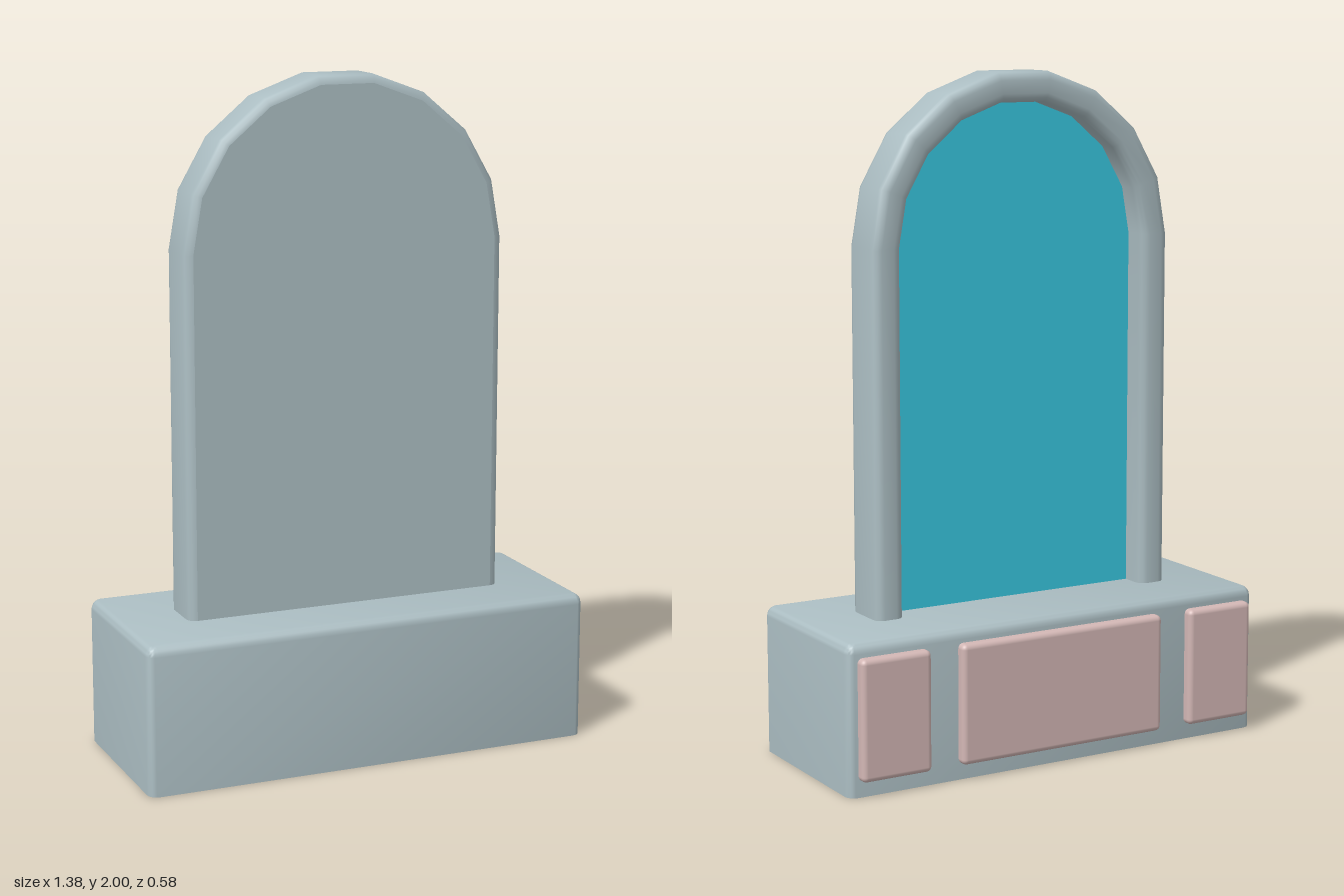
import * as THREE from 'three';
import { toCreasedNormals } from 'three/addons/utils/BufferGeometryUtils.js';
import { RoundedBoxGeometry } from 'three/addons/geometries/RoundedBoxGeometry.js';

const HALF = 0.497, SPRING = 1.511, FOOT = 0.44, FRONT = 0.092, BACK = -0.066;
const FRAME = 0.09, GLASS_Z = 0.014, BEVEL = 0.026;

// Round-topped outline, moved inwards by inset, from the +x foot over to the -x foot
function archOutline(inset) {
  const r = HALF - inset;
  const points = [new THREE.Vector2(r, FOOT)];
  for (let i = 0; i <= 9; i++) {
    const a = (i / 9) * Math.PI;
    points.push(new THREE.Vector2(r * Math.cos(a), SPRING + r * Math.sin(a)));
  }
  points.push(new THREE.Vector2(-r, FOOT));
  return points;
}

// Sweeps a profile of [inset, z] pairs along the arch
function sweepArch(profile) {
  const positions = [], index = [];
  const rings = profile.map(([inset]) => archOutline(inset));
  const n = rings[0].length;
  profile.forEach(([, z], j) => rings[j].forEach((p) => positions.push(p.x, p.y, z)));
  for (let j = 0; j < profile.length - 1; j++) {
    for (let i = 0; i < n - 1; i++) {
      const a = j * n + i, b = a + n;
      index.push(a, b, a + 1, b, b + 1, a + 1);
    }
  }
  const geometry = new THREE.BufferGeometry();
  geometry.setAttribute('position', new THREE.Float32BufferAttribute(positions, 3));
  geometry.setIndex(index);
  return toCreasedNormals(geometry, 0.7);
}

// Quarter-round steps between two edges of the profile
function round(cx, cz, radius, from, to) {
  return [0, 1, 2, 3].map((k) => {
    const a = from + ((to - from) * k) / 3;
    return [cx + radius * Math.cos(a), cz + radius * Math.sin(a)];
  });
}

// Rounded box with straight walls down to y = 0 and no underside
function openBlock(width, height, depth, radius) {
  const box = new RoundedBoxGeometry(width, height, depth, 3, radius).translate(0, height / 2, 0);
  const source = box.attributes.position;
  const kept = [];
  for (let i = 0; i < source.count; i += 3) {
    const corners = [i, i + 1, i + 2].map((k) => {
      const p = new THREE.Vector3().fromBufferAttribute(source, k);
      if (p.y < height / 2) p.y = 0;
      return p;
    });
    if (corners.some((p) => p.y > 0)) corners.forEach((p) => kept.push(p.x, p.y, p.z));
  }
  const geometry = new THREE.BufferGeometry();
  geometry.setAttribute('position', new THREE.Float32BufferAttribute(kept, 3));
  return toCreasedNormals(geometry, 0.7);
}

export function createModel() {
  const model = new THREE.Group();
  const stone = new THREE.MeshStandardMaterial({ color: 0xabbdc2, side: THREE.DoubleSide });
  stone.name = 'greyStone';
  const glass = new THREE.MeshStandardMaterial({ color: 0x38c9e2 });
  glass.name = 'tealGlass';
  const pink = new THREE.MeshStandardMaterial({ color: 0xd3b7b5 });
  pink.name = 'dustyPink';

  const add = (name, geometry, material, x = 0, y = 0, z = 0) => {
    const mesh = new THREE.Mesh(geometry, material);
    mesh.name = name;
    mesh.position.set(x, y, z);
    model.add(mesh);
    return mesh;
  };

  // Hollow base block, open underneath
  add('base', openBlock(1.38, 0.443, 0.547, 0.03), stone, 0, 0, 0.0145);

  // Frame: outer wall with rounded edges, rim at the back and wall of the recess
  add('archFrame', sweepArch([
    ...round(BEVEL, FRONT - BEVEL, BEVEL, Math.PI / 2, Math.PI),
    ...round(BEVEL, BACK + BEVEL, BEVEL, Math.PI, Math.PI * 1.5),
    ...round(FRAME - BEVEL, BACK + BEVEL, BEVEL, Math.PI * 1.5, Math.PI * 2),
    [FRAME, GLASS_Z],
  ]), stone);

  // Closed panel on the front of the arch
  add('frontPanel', new THREE.ShapeGeometry(new THREE.Shape(archOutline(BEVEL))), stone, 0, 0, FRONT);

  // Glass set into the recess, facing the back
  const pane = add('glassPane', new THREE.ShapeGeometry(new THREE.Shape(archOutline(FRAME))), glass, 0, 0, GLASS_Z);
  pane.rotation.y = Math.PI;

  // Raised plaques on the back of the base
  const plaques = [['leftPlaque', 0.55, 0.222], ['middlePlaque', 0, 0.68], ['rightPlaque', -0.55, 0.222]];
  for (const [name, x, width] of plaques) {
    add(name, new RoundedBoxGeometry(width, 0.355, 0.05, 3, 0.016), pink, x, 0.225, -0.264);
  }

  return model;
}
